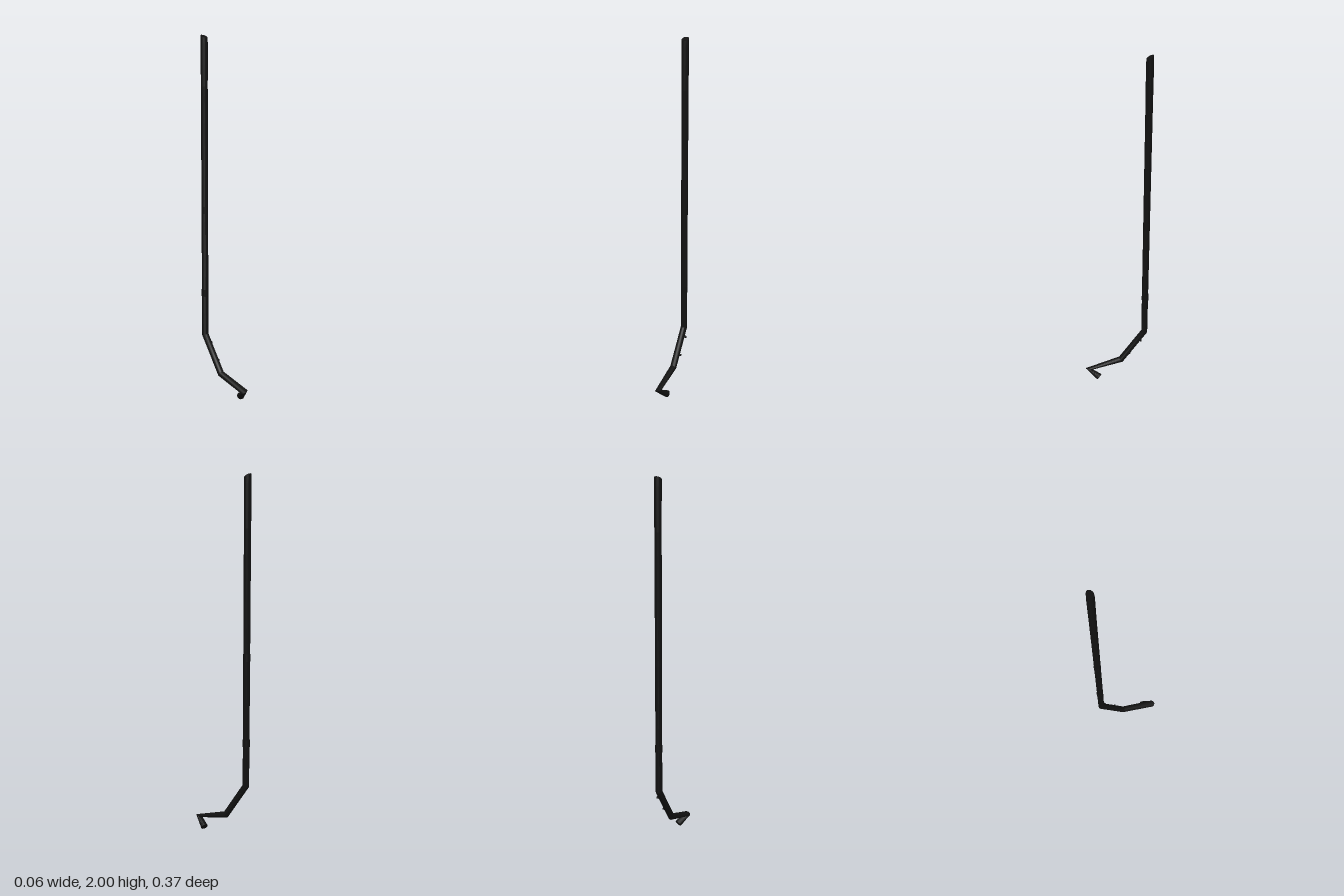
import * as THREE from 'three';
import { toCreasedNormals } from 'three/addons/utils/BufferGeometryUtils.js';

const V = (x, y, z) => new THREE.Vector3(x, y, z);
const material = new THREE.MeshStandardMaterial({ color: 0x111111 });

function add(parent, name, geometry) {
  const mesh = new THREE.Mesh(geometry, material);
  mesh.name = name;
  parent.add(mesh);
  return mesh;
}

// Round bar through the stations; each joint ring faces the mean direction of its two legs.
function bentBar(stations, sides = 32) {
  const n = stations.length;
  const leg = (i) => stations[i + 1].p.clone().sub(stations[i].p).normalize();
  const pos = [], index = [];
  stations.forEach(({ p, r, normal }, i) => {
    const t = normal ? normal.clone() : V(0, 0, 0);
    if (!normal && i > 0) t.add(leg(i - 1));
    if (!normal && i < n - 1) t.add(leg(i));
    t.normalize();
    const u = V(1, 0, 0).addScaledVector(t, -t.x).normalize();
    const v = t.clone().cross(u);
    for (let j = 0; j < sides; j++) {
      const a = (j / sides) * Math.PI * 2;
      const q = p.clone().addScaledVector(u, r * Math.cos(a)).addScaledVector(v, r * Math.sin(a));
      pos.push(q.x, q.y, q.z);
    }
  });
  const first = n * sides, last = first + 1;
  pos.push(...stations[0].p.toArray(), ...stations[n - 1].p.toArray());
  for (let j = 0; j < sides; j++) {
    const k = (j + 1) % sides;
    for (let i = 0; i < n - 1; i++) {
      const a = i * sides + j, b = i * sides + k;
      index.push(a, b, a + sides, b, b + sides, a + sides);
    }
    index.push(first, k, j, last, (n - 1) * sides + j, (n - 1) * sides + k);
  }
  const g = new THREE.BufferGeometry();
  g.setAttribute('position', new THREE.Float32BufferAttribute(pos, 3));
  g.setIndex(index);
  return toCreasedNormals(g, 0.5);
}

export function createModel() {
  const group = new THREE.Group();
  group.name = 'bentPipe';

  // Long shaft with a slanted top, two bends and a folded hook at the foot
  add(group, 'pipe', bentBar([
    { p: V(-0.01, 1.99, -0.167), r: 0.0205, normal: V(0, -0.88, -0.47) },
    { p: V(-0.01, 1.95, -0.167), r: 0.02 },
    { p: V(-0.01, 1.72, -0.167), r: 0.019 },
    { p: V(-0.01, 0.315, -0.166), r: 0.0185 },
    { p: V(-0.013, 0.116, -0.027), r: 0.0185 },
    { p: V(-0.014, 0.062, 0.167), r: 0.02 },
    { p: V(0.013, 0.017, 0.109), r: 0.02 },
  ]));

  // Shallow collars on the shaft
  for (const y of [1.035, 0.56]) {
    add(group, 'collar', new THREE.CylinderGeometry(0.0195, 0.0195, 0.04, 32)).position.set(-0.01, y, -0.167);
  }

  // Two small pegs on the left of the sloping section
  for (const [x, y, z] of [[0.007, 0.267, -0.141], [0.004, 0.178, -0.075]]) {
    const peg = add(group, 'peg', new THREE.CylinderGeometry(0.0065, 0.0065, 0.02, 16));
    peg.rotation.z = Math.PI / 2;
    peg.position.set(x, y, z);
  }
  return group;
}
